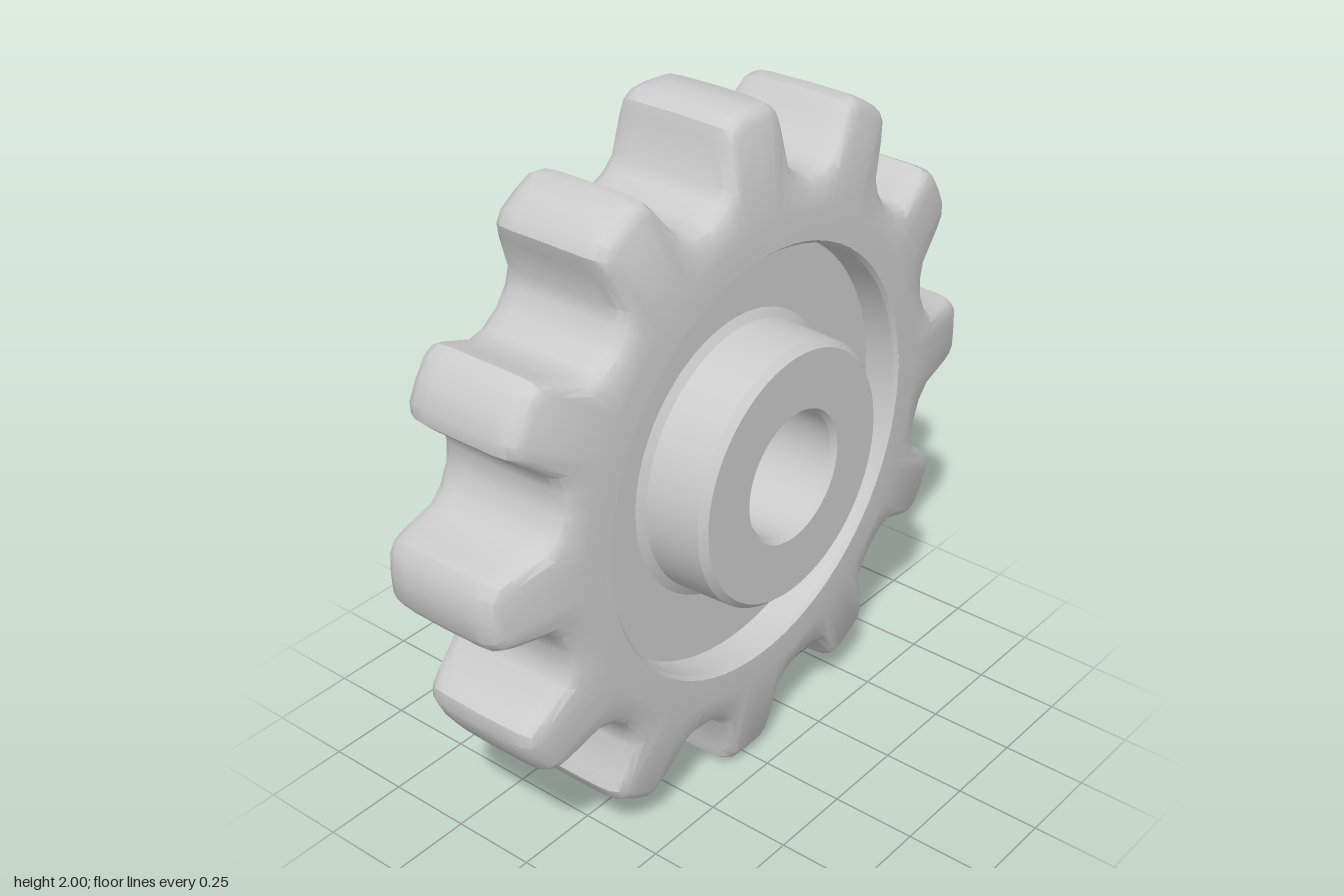
import * as THREE from 'three';
import { toCreasedNormals } from 'three/addons/utils/BufferGeometryUtils.js';

const TEETH = 12, RIM = 0.62, FRONT = 0.222, BACK = -0.23;

// Half a tooth, tip centre to valley: [distance along tooth, half width]
const OUTER = [[1, 0], [0.995, 0.065], [0.972, 0.098], [0.93, 0.108], [0.825, 0.122], [0.793, 0.15], [0.763, 0.2045]];
const FACE = [[0.962, 0], [0.96, 0.05], [0.945, 0.068], [0.91, 0.08], [0.8, 0.098], [0.755, 0.135], [0.728, 0.195]];

// Full toothed outline as [radius, angle] pairs, blended from face (0) to outer (1)
function outline(blend) {
  const half = OUTER.map(([a, w], i) => {
    const along = THREE.MathUtils.lerp(FACE[i][0], a, blend);
    const across = THREE.MathUtils.lerp(FACE[i][1], w, blend);
    return [Math.hypot(along, across), Math.atan2(across, along)];
  });
  const tooth = [...half.slice(1, -1).reverse().map(([r, t]) => [r, -t]), ...half];
  const ring = [];
  for (let k = 0; k < TEETH; k++) {
    for (const [r, t] of tooth) ring.push([r, t + (k * 2 * Math.PI) / TEETH]);
  }
  return ring;
}

// Sides narrow towards the tooth tips
const taper = (r) => 0.04 * THREE.MathUtils.clamp((r - 0.68) / 0.3, 0, 1);

function toothedRimGeometry() {
  const rings = [];
  const addSide = (x) => {
    const s = Math.sign(x);
    const at = (blend, drop, limit = 9) => outline(blend).map(([r, t]) => {
      const q = Math.min(r, limit);
      return [x - s * (taper(q) + drop), q, t];
    });
    const side = [at(0, 0, RIM), at(0, 0, 0.7), at(0, 0), at(0.6, 0.012), at(0.9, 0.035), at(1, 0.075)];
    rings.push(...(s > 0 ? side : side.reverse()));
  };
  addSide(FRONT);
  rings.push(outline(1).map(([r, t]) => [0, r + 0.002, t]));
  addSide(BACK);

  const n = rings[0].length, pos = [], index = [];
  rings.forEach((ring) => ring.forEach(([x, r, t]) => pos.push(x, r * Math.cos(t), r * Math.sin(t))));
  for (let i = 0; i < rings.length - 1; i++) {
    for (let j = 0; j < n; j++) {
      const a = i * n + j, b = i * n + ((j + 1) % n), c = a + n, d = b + n;
      index.push(a, c, b, b, c, d);
    }
  }
  const g = new THREE.BufferGeometry();
  g.setAttribute('position', new THREE.Float32BufferAttribute(pos, 3));
  g.setIndex(index);
  return toCreasedNormals(g, 0.6);
}

// Recessed web, hub and bore as one turned profile: [radius, x]
function hubGeometry() {
  const profile = [
    [RIM, FRONT], [0.61, 0.21], [0.605, 0.12],             // recess wall
    [0.41, 0.12], [0.385, 0.135], [0.378, 0.3], [0.36, 0.32], // front hub
    [0.192, 0.32], [0.18, 0.305], [0.18, -0.305], [0.192, -0.32], // bore
    [0.382, -0.32], [0.4, -0.302], [0.4, BACK], [RIM, BACK],  // back hub
  ].map(([r, x]) => new THREE.Vector2(r, x));
  const g = new THREE.LatheGeometry(profile, 72);
  g.rotateZ(-Math.PI / 2);
  return toCreasedNormals(g, 0.5);
}

export function createModel() {
  const group = new THREE.Group();
  group.name = 'sprocketWheel';
  const material = new THREE.MeshStandardMaterial({ color: 0xcccccc });
  const add = (name, geometry) => {
    const mesh = new THREE.Mesh(geometry, material);
    mesh.name = name;
    mesh.position.y = 1;
    group.add(mesh);
  };
  add('toothedRim', toothedRimGeometry());
  add('hubAndWeb', hubGeometry());
  return group;
}
